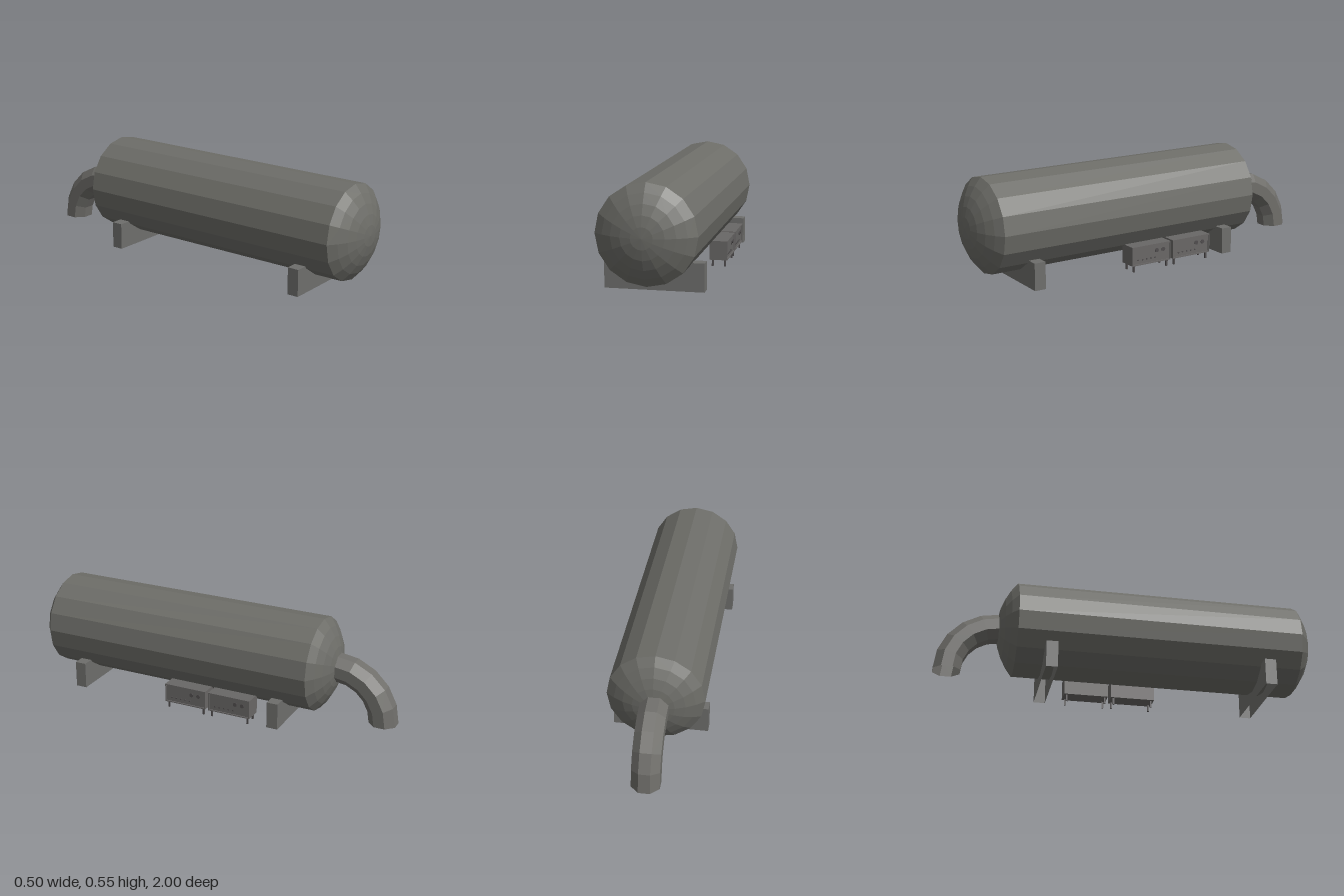
import * as THREE from 'three';

const mat = (name, color, extra = {}) => {
  const m = new THREE.MeshStandardMaterial({ color, flatShading: true, ...extra });
  m.name = name;
  return m;
};

export function createModel() {
  const steel = mat('tank steel', 0x6d6d68);
  const pipeSteel = mat('pipe steel', 0x6f6e6a, { side: THREE.DoubleSide });
  const saddleSteel = mat('saddle steel', 0x6e6e6c, { side: THREE.DoubleSide });
  const cabinetGrey = mat('cabinet grey', 0x696766);
  const dark = mat('dark fittings', 0x504d4e);

  const model = new THREE.Group();
  const add = (parent, name, geometry, material, x = 0, y = 0, z = 0) => {
    const mesh = new THREE.Mesh(geometry, material);
    mesh.name = name;
    mesh.position.set(x, y, z);
    parent.add(mesh);
    return mesh;
  };

  // Tank: cylinder with shallow spherical ends, turned about z
  const R = 0.245, depth = 0.095, rearZ = -0.592, frontZ = 0.905, steps = 5;
  const sphereR = (R * R + depth * depth) / (2 * depth);
  const halfAngle = Math.asin(R / sphereR);
  const dome = (i) => {
    const a = (halfAngle * i) / steps;
    return [sphereR * Math.sin(a), depth - sphereR * (1 - Math.cos(a))];
  };
  const profile = [];
  for (let i = 0; i <= steps; i++) {
    const [r, d] = dome(i);
    profile.push(new THREE.Vector2(r, rearZ - d));
  }
  for (let i = steps; i >= 0; i--) {
    const [r, d] = dome(i);
    profile.push(new THREE.Vector2(r, frontZ + d));
  }
  add(model, 'tank', new THREE.LatheGeometry(profile, 16).rotateX(Math.PI / 2), steel, -0.004, 0.305, 0);

  // Outlet pipe: open octagonal quarter bend at the rear
  const pipeR = 0.07 / Math.cos(Math.PI / 8), ring = [];
  for (let i = 0; i <= 8; i++) {
    const a = ((i + 0.5) * Math.PI) / 4;
    ring.push(new THREE.Vector2(0.26 + pipeR * Math.cos(a), pipeR * Math.sin(a)));
  }
  const bend = new THREE.LatheGeometry(ring, 5, -Math.PI, Math.PI / 2).rotateZ(-Math.PI / 2);
  add(model, 'outletPipe', bend, pipeSteel, -0.01, 0.04, -0.67);

  // Saddles: boxes left open underneath
  for (const z of [0.72, -0.42]) {
    const box = new THREE.BoxGeometry(0.488, 0.14, 0.06);
    const index = Array.from(box.index.array);
    index.splice(18, 6); // bottom face
    box.setIndex(index);
    box.clearGroups();
    add(model, z > 0 ? 'frontSaddle' : 'rearSaddle', box, saddleSteel, -0.005, 0.076, z);
  }

  // Control cabinets on the left side
  const length = 0.235, height = 0.1, midY = 0.085, faceX = 0.243;
  [0.072, -0.18].forEach((z, n) => {
    const cabinet = new THREE.Group();
    cabinet.name = `cabinet${n + 1}`;
    cabinet.position.z = z;
    model.add(cabinet);
    add(cabinet, 'body', new THREE.BoxGeometry(0.088, height, length), cabinetGrey, faceX - 0.044, midY, 0);

    // Raised frame around the face
    for (const s of [-1, 1]) {
      add(cabinet, 'frameRail', new THREE.BoxGeometry(0.006, 0.006, length), cabinetGrey,
        faceX + 0.003, midY + s * (height / 2 - 0.003), 0);
      add(cabinet, 'framePost', new THREE.BoxGeometry(0.006, height - 0.012, 0.006), cabinetGrey,
        faceX + 0.003, midY, s * (length / 2 - 0.003));
      // Legs
      for (const x of [0.1705, 0.2345]) {
        add(cabinet, 'leg', new THREE.BoxGeometry(0.009, 0.036, 0.009), dark, x, 0.018, s * 0.102);
      }
    }

    // Dials and a row of small buttons
    const disc = (name, r, y, dz) => add(cabinet, name,
      new THREE.CylinderGeometry(r, r, 0.004, 10).rotateZ(-Math.PI / 2), dark, faceX + 0.002, y, dz);
    disc('dial', 0.011, 0.098, -0.035);
    disc('dial', 0.011, 0.098, -0.075);
    for (let i = 0; i < 5; i++) disc('button', 0.004, 0.062, 0.08 - i * 0.026);
  });

  return model;
}
